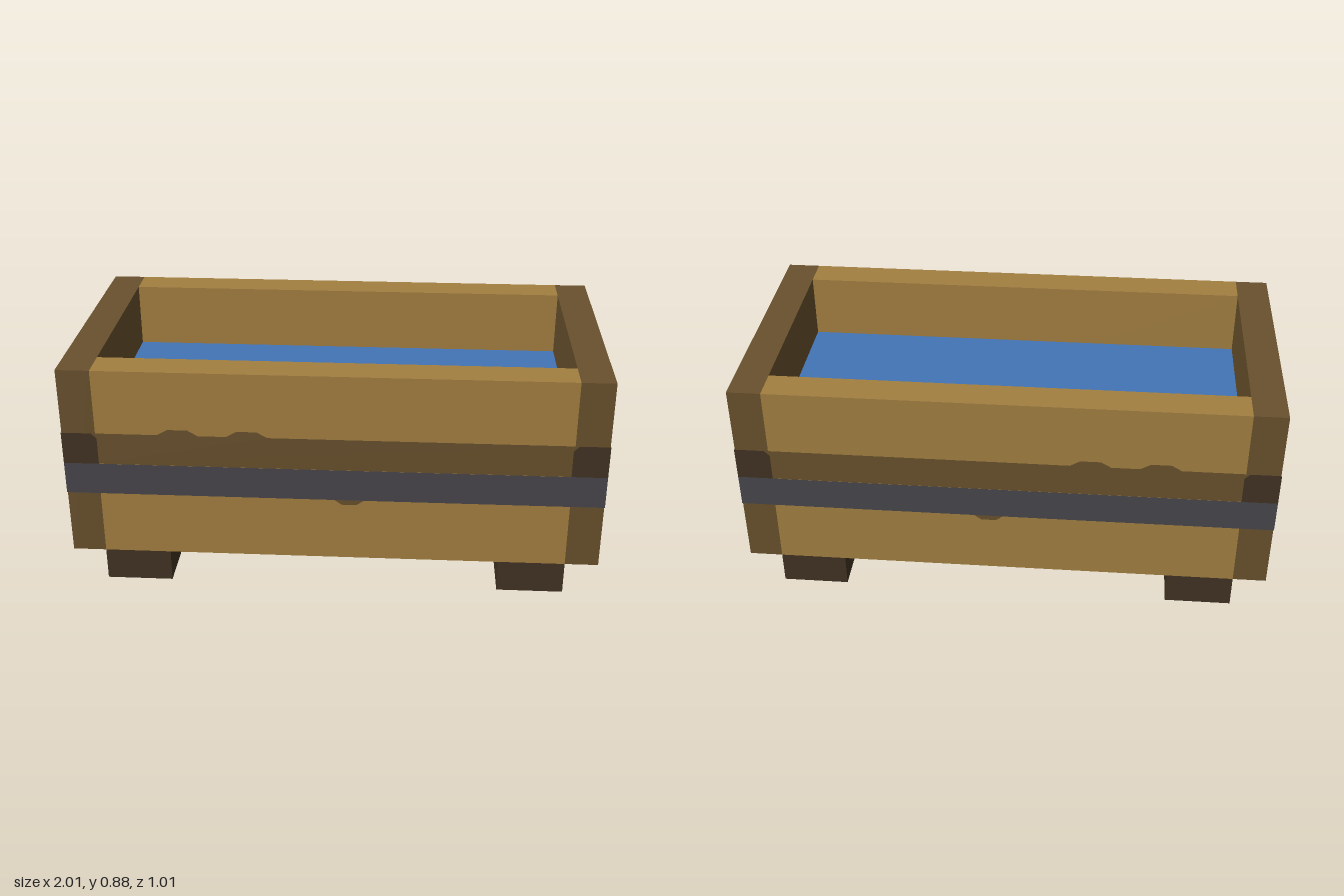
import * as THREE from 'three';

const mat = (name, color) => {
  const m = new THREE.MeshStandardMaterial({ color });
  m.name = name;
  return m;
};

export function createModel() {
  const model = new THREE.Group();
  model.name = 'waterTrough';
  const lightWood = mat('light wood', 0xa37f40);
  const midWood = mat('mid wood', 0x69512d);
  const darkWood = mat('dark wood', 0x403322);
  const iron = mat('iron', 0x48464c);
  const blue = mat('water blue', 0x4275b7);

  // Box given by its lower and upper limits on each axis
  const box = (name, material, [x0, x1], [y0, y1], [z0, z1]) => {
    const mesh = new THREE.Mesh(new THREE.BoxGeometry(x1 - x0, y1 - y0, z1 - z0), material);
    mesh.position.set((x0 + x1) / 2, (y0 + y1) / 2, (z0 + z1) / 2);
    mesh.name = name;
    model.add(mesh);
  };

  // Strip with small bumps [centre, height, half width] along its top and bottom edges
  const strip = (x0, x1, y0, y1, top = [], bottom = []) => {
    const s = new THREE.Shape();
    s.moveTo(x0, y0);
    for (const [c, h, w] of bottom) {
      s.lineTo(c - w, y0);
      s.lineTo(c - w / 2, y0 - h);
      s.lineTo(c + w / 2, y0 - h);
      s.lineTo(c + w, y0);
    }
    s.lineTo(x1, y0);
    s.lineTo(x1, y1);
    for (const [c, h, w] of [...top].sort((a, b) => b[0] - a[0])) {
      s.lineTo(c + w, y1);
      s.lineTo(c + w / 2, y1 + h);
      s.lineTo(c - w / 2, y1 + h);
      s.lineTo(c - w, y1);
    }
    s.lineTo(x0, y1);
    return s;
  };

  // Block with one cut corner on the inner side; side is the sign of x
  const cutBlock = (side, inner, outer, y0, y1, cutTop) => {
    const c = 0.02, i = side * inner, o = side * outer, k = side * (inner + c);
    return new THREE.Shape((cutTop
      ? [[i, y0], [o, y0], [o, y1], [k, y1], [i, y1 - c]]
      : [[k, y0], [o, y0], [o, y1], [i, y1], [i, y0 + c]]
    ).map(([x, y]) => new THREE.Vector2(x, y)));
  };

  // Painted face lying just proud of its wall
  const paint = (group, name, material, shape, z) => {
    const mesh = new THREE.Mesh(new THREE.ShapeGeometry(shape), material);
    mesh.position.z = z;
    mesh.name = name;
    group.add(mesh);
  };

  // Walls, floor, water and feet
  for (const s of [-1, 1]) {
    const span = (a, b) => (s > 0 ? [a, b] : [-b, -a]);
    box('longWall', lightWood, [-0.875, 0.875], [0.125, 0.875], span(0.375, 0.5));
    box('endWall', midWood, span(0.875, 1), [0.125, 0.875], [-0.5, 0.5]);
    box('foot', darkWood, span(0.625, 0.875), [0, 0.125], [-0.5, 0.5]);
  }
  box('floor', lightWood, [-0.875, 0.875], [0.125, 0.25], [-0.375, 0.375]);
  box('water', blue, [-0.875, 0.875], [0.25, 0.625], [-0.375, 0.375]);

  // Stain and iron band on the front and back
  for (const s of [1, -1]) {
    const face = new THREE.Group();
    face.name = s > 0 ? 'frontBand' : 'backBand';
    face.rotation.y = s > 0 ? 0 : Math.PI;
    const bumps = [[-0.57 * s, 0.022, 0.075], [-0.315 * s, 0.022, 0.075]];
    paint(face, 'stain', midWood, strip(-0.875, 0.875, 0.5, 0.625, bumps), 0.502);
    paint(face, 'stainDrip', midWood,
      strip(0.06 * s - 0.06, 0.06 * s + 0.06, 0.375, 0.385, [], [[0.06 * s, 0.02, 0.055]]), 0.502);
    paint(face, 'ironBand', iron, strip(-1.002, 1.002, 0.375, 0.5), 0.503);
    for (const side of [-1, 1])
      paint(face, 'endStain', darkWood, cutBlock(side, 0.87, 1.002, 0.5, 0.625, true), 0.503);
    model.add(face);
  }

  // Stain and wrapped iron corners on the two ends
  for (const s of [1, -1]) {
    const face = new THREE.Group();
    face.name = s > 0 ? 'leftEndBand' : 'rightEndBand';
    face.rotation.y = s * Math.PI / 2;
    paint(face, 'endStain', darkWood,
      strip(-0.502, 0.502, 0.5, 0.625, [[0.31, 0.015, 0.065]], [[-0.06, 0.014, 0.07]]), 1.002);
    for (const side of [-1, 1])
      paint(face, 'ironCorner', iron, cutBlock(side, 0.375, 0.503, 0.375, 0.5, false), 1.003);
    model.add(face);
  }

  // Stain under the floor
  const under = new THREE.Group();
  under.name = 'undersideStain';
  under.rotation.x = Math.PI / 2;
  paint(under, 'stain', midWood,
    strip(-0.625, 0.625, -0.115, 0.01, [], [[-0.16, 0.022, 0.075], [0.1, 0.022, 0.075]]), -0.123);
  model.add(under);

  return model;
}
